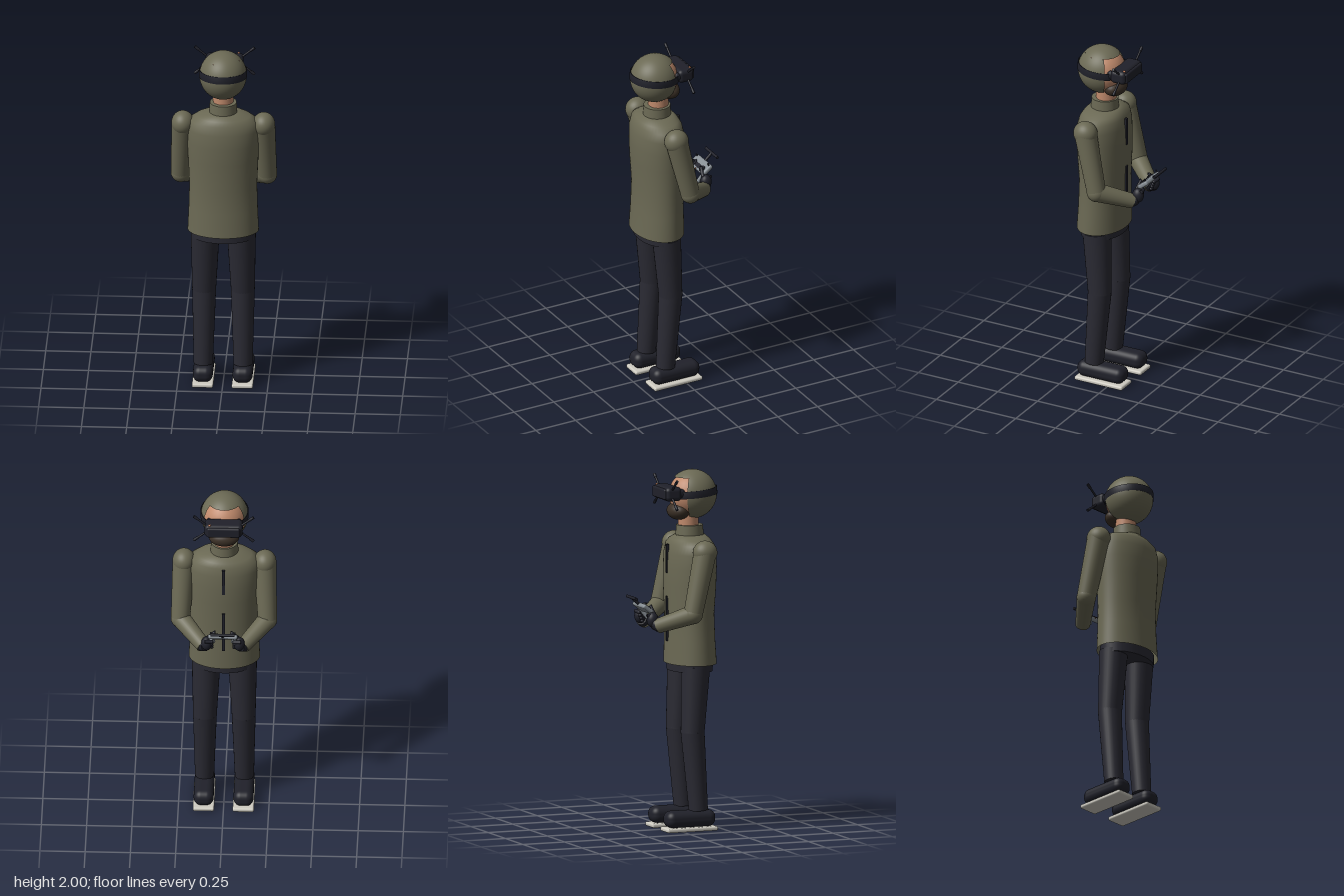
import * as THREE from 'three';
import { RoundedBoxGeometry } from 'three/addons/geometries/RoundedBoxGeometry.js';

const mat = (name, color, side = THREE.FrontSide) => {
  const m = new THREE.MeshStandardMaterial({ color, side });
  m.name = name;
  return m;
};

export function createModel() {
  const model = new THREE.Group();
  model.name = 'pilot';
  const olive = mat('olive cloth', 0x6b6954, THREE.DoubleSide);
  const navy = mat('dark trousers', 0x2a2a33);
  const black = mat('black gear', 0x20212a);
  const skin = mat('skin', 0xc08a6c);
  const brown = mat('beard brown', 0x3b3026);
  const grey = mat('controller grey', 0x868d93);
  const pale = mat('pale sole', 0xcfccc2);
  const copper = mat('copper', 0xc98058);

  const V = (a) => new THREE.Vector3(...a);
  const add = (name, geo, material, pos = [0, 0, 0], parent = model) => {
    const m = new THREE.Mesh(geo, material);
    m.name = name;
    m.position.set(...pos);
    parent.add(m);
    return m;
  };
  const ball = (name, r, material, pos, parent) => {
    const m = add(name, new THREE.SphereGeometry(1, 32, 20), material, pos, parent);
    m.scale.set(...(Array.isArray(r) ? r : [r, r, r]));
    return m;
  };
  // Tapered round bar from a to b
  const bar = (name, a, b, ra, rb, material, parent) => {
    const d = V(b).sub(V(a));
    const mid = V(a).add(V(b)).multiplyScalar(0.5).toArray();
    const m = add(name, new THREE.CylinderGeometry(rb, ra, d.length(), 28), material, mid, parent);
    m.quaternion.setFromUnitVectors(new THREE.Vector3(0, 1, 0), d.normalize());
    return m;
  };
  // Stack of elliptical rings: [y, rx, rz, centre z]
  const loft = (rings, n = 48) => {
    const pos = [], idx = [];
    rings.forEach(([y, rx, rz, zc]) => {
      for (let i = 0; i < n; i++) {
        const t = (i / n) * Math.PI * 2;
        pos.push(Math.sin(t) * rx, y, zc + Math.cos(t) * rz);
      }
    });
    for (let r = 0; r < rings.length - 1; r++)
      for (let i = 0; i < n; i++) {
        const a = r * n + i, b = r * n + ((i + 1) % n);
        idx.push(a, b, b + n, a, b + n, a + n);
      }
    const g = new THREE.BufferGeometry();
    g.setAttribute('position', new THREE.Float32BufferAttribute(pos, 3));
    g.setIndex(idx);
    g.computeVertexNormals();
    return g;
  };

  // Jacket, collar and hip
  add('jacket', loft([
    [0.925, 0.197, 0.137, 0.103], [1.06, 0.191, 0.131, 0.1], [1.2, 0.187, 0.128, 0.098],
    [1.36, 0.194, 0.137, 0.1], [1.46, 0.199, 0.138, 0.102], [1.54, 0.2, 0.135, 0.103],
    [1.59, 0.19, 0.122, 0.102], [1.615, 0.15, 0.108, 0.101], [1.638, 0.085, 0.085, 0.1],
    [1.64, 0.001, 0.001, 0.1],
  ]), olive);
  add('collar', new THREE.CylinderGeometry(0.074, 0.078, 0.065, 36), olive, [0, 1.661, 0.1]);
  const hip = add('hip', new THREE.CylinderGeometry(0.176, 0.174, 0.06, 40), navy, [0, 0.914, 0.1]);
  hip.scale.z = 0.68;
  for (const [y0, y1] of [[1.43, 1.59], [1.05, 1.3]])
    add('zip', new THREE.BoxGeometry(0.016, y1 - y0, 0.014), black, [0, (y0 + y1) / 2, -0.034]);

  // Neck, face and beard
  add('neck', new THREE.CylinderGeometry(0.056, 0.056, 0.12, 32), skin, [0, 1.73, 0.092]);
  ball('face', [0.122, 0.126, 0.124], skin, [0, 1.86, 0.108]);
  ball('beard', [0.084, 0.05, 0.06], brown, [0, 1.773, 0.032]);

  // Hood: a crown above and a shell open at the face
  const crownAngle = Math.PI / 4, halfGap = 1.01;
  const hood = new THREE.Group();
  hood.name = 'hood';
  hood.position.set(0, 1.863, 0.115);
  hood.scale.set(0.131, 0.137, 0.138);
  model.add(hood);
  add('hoodCrown', new THREE.SphereGeometry(1, 48, 12, 0, Math.PI * 2, 0, crownAngle), olive, [0, 0, 0], hood);
  add('hoodShell', new THREE.SphereGeometry(1, 44, 24, -Math.PI / 2 + halfGap, Math.PI * 2 - 2 * halfGap,
    crownAngle, Math.PI - crownAngle), olive, [0, 0, 0], hood).rotation.y = Math.PI;
  hood.children[1].rotation.y = 0;
  hood.children[1].geometry.rotateY(0);

  // Headset with strap and four aerials
  const h = 0.02;
  const band = [[0.127, -h], [0.133, -h], [0.133, h], [0.127, h], [0.127, -h]];
  const strap = add('headStrap', new THREE.LatheGeometry(band.map((p) => new THREE.Vector2(...p)), 56),
    black, [0, 1.876, 0.115]);
  strap.scale.z = 1.055;
  strap.rotation.x = -0.08;
  add('headset', new RoundedBoxGeometry(0.21, 0.078, 0.095, 4, 0.024), black, [0, 1.878, -0.033]);
  add('headsetFront', new RoundedBoxGeometry(0.182, 0.06, 0.022, 3, 0.01), black, [0, 1.878, -0.077]);
  ball('headsetSensor', 0.007, copper, [0.077, 1.915, -0.064]);
  for (const s of [-1, 1]) {
    ball('strapMount', [0.018, 0.026, 0.026], black, [s * 0.082, 1.878, 0.016]);
    for (const up of [-1, 1]) {
      const a = [s * 0.09, 1.88 + up * 0.018, -0.042];
      const b = [s * 0.165, 1.88 + up * 0.08, -0.042];
      bar('headsetAerial', a, b, 0.006, 0.006, black);
      const c = V(a).lerp(V(b), 0.72).toArray();
      bar('aerialTip', c, b, 0.008, 0.008, black);
    }
  }

  for (const s of [-1, 1]) {
    // Leg and shoe
    const hipJ = [s * 0.1, 0.91, 0.095], knee = [s * 0.107, 0.55, 0.074], ankle = [s * 0.11, 0.113, 0.107];
    bar('thigh', hipJ, knee, 0.08, 0.066, navy);
    ball('knee', 0.066, navy, knee);
    bar('shin', knee, ankle, 0.066, 0.053, navy);
    add('shoe', new RoundedBoxGeometry(0.11, 0.092, 0.29, 6, 0.04), black, [s * 0.11, 0.069, 0.053]);
    add('sole', new RoundedBoxGeometry(0.118, 0.024, 0.302, 3, 0.01), pale, [s * 0.11, 0.012, 0.053]);

    // Arm
    const shoulder = [s * 0.224, 1.563, 0.1], elbow = [s * 0.24, 1.225, 0.022], wrist = [s * 0.108, 1.152, -0.135];
    ball('shoulder', [0.063, 0.067, 0.069], olive, shoulder);
    bar('upperArm', shoulder, elbow, 0.063, 0.053, olive);
    ball('elbow', 0.054, olive, elbow);
    bar('forearm', elbow, wrist, 0.053, 0.041, olive);

    // Gloved hand with fingers folded round the controller
    bar('gloveCuff', [s * 0.116, 1.154, -0.127], [s * 0.095, 1.165, -0.15], 0.036, 0.032, black);
    ball('palm', [0.03, 0.042, 0.033], black, [s * 0.09, 1.185, -0.158]);
    for (let i = 0; i < 4; i++) {
      const y = 1.165 + i * 0.016, z = -0.165 - i * 0.006;
      bar('finger', [s * 0.1, y, z], [s * 0.062, y - 0.006, z + 0.008], 0.01, 0.009, black);
      ball('fingertip', 0.0095, black, [s * 0.062, y - 0.006, z + 0.008]);
    }
    bar('thumb', [s * 0.083, 1.215, -0.145], [s * 0.05, 1.252, -0.152], 0.011, 0.009, black);
    ball('thumbTip', 0.01, black, [s * 0.05, 1.252, -0.152]);
  }

  // Hand controller, tilted toward the wearer
  const ctl = new THREE.Group();
  ctl.name = 'controller';
  ctl.position.set(0, 1.243, -0.177);
  ctl.rotation.x = 0.65;
  model.add(ctl);
  add('controllerBody', new RoundedBoxGeometry(0.164, 0.026, 0.074, 4, 0.011), grey, [0, 0, 0], ctl);
  add('controllerScreen', new THREE.BoxGeometry(0.055, 0.004, 0.024), black, [0, 0.014, 0.012], ctl);
  ball('powerLight', 0.004, copper, [0, 0.012, 0.034], ctl);
  for (const s of [-1, 1]) {
    bar('controllerGrip', [s * 0.066, -0.004, 0.025], [s * 0.054, -0.022, 0.075], 0.014, 0.011, grey, ctl);
    ball('gripEnd', 0.011, grey, [s * 0.054, -0.022, 0.075], ctl);
    add('stickBase', new THREE.CylinderGeometry(0.018, 0.019, 0.006, 24), black, [s * 0.045, 0.015, 0.012], ctl);
    bar('stick', [s * 0.045, 0.015, 0.012], [s * 0.045, 0.035, 0.012], 0.004, 0.004, black, ctl);
    bar('switch', [s * 0.066, 0.01, -0.026], [s * 0.066, 0.026, -0.028], 0.005, 0.004, black, ctl);
  }
  bar('controllerAerialStem', [0, 0, -0.03], [0, 0.006, -0.09], 0.008, 0.008, black, ctl);
  bar('controllerAerial', [-0.066, 0.006, -0.09], [0.066, 0.006, -0.09], 0.008, 0.008, black, ctl);
  return model;
}
